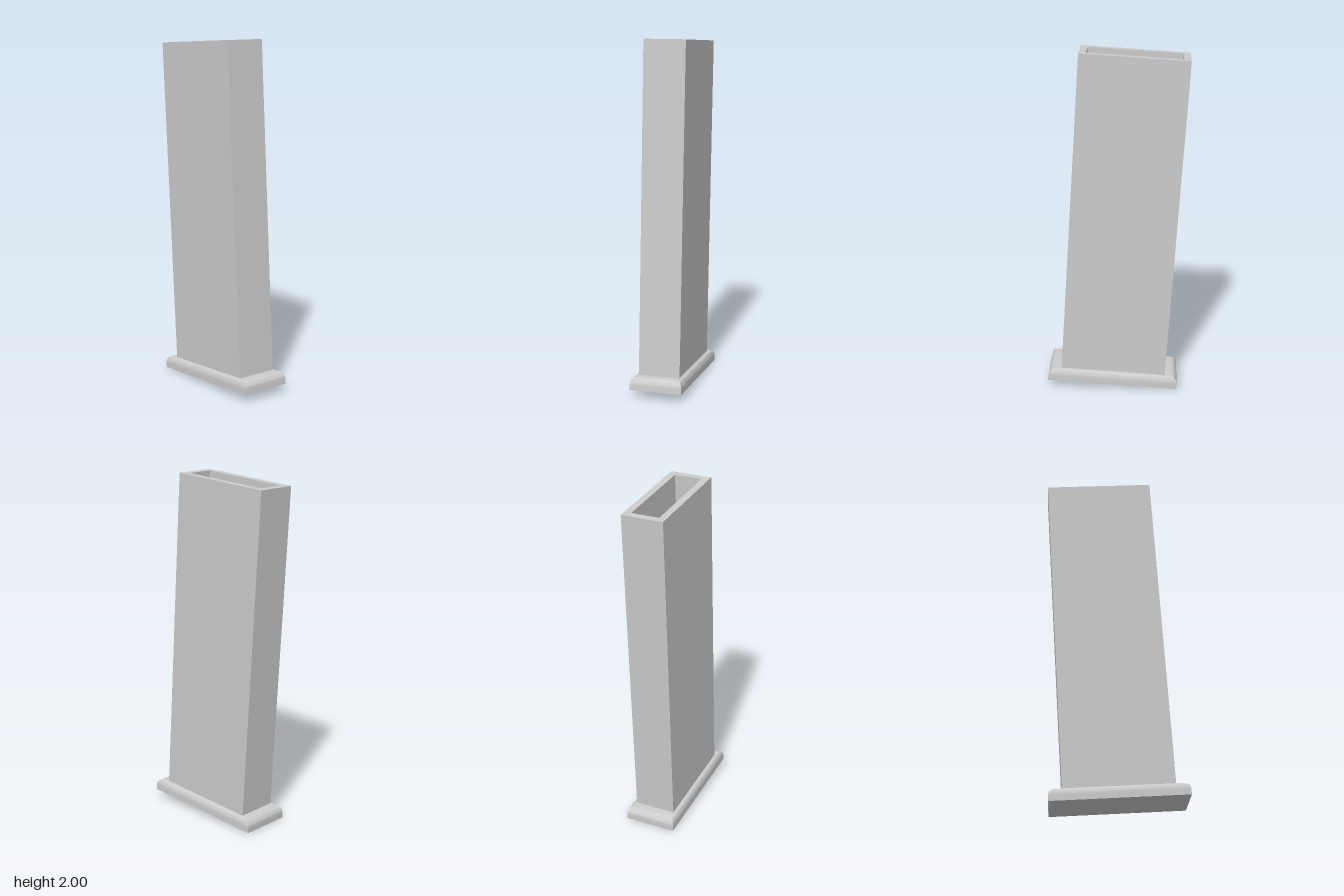
import * as THREE from 'three';
import { toCreasedNormals } from 'three/addons/utils/BufferGeometryUtils.js';

const TILT = 0.0635;
const BASE = { halfX: 0.15, halfZ: 0.381, height: 0.073, wall: 0.033, insetX: 0.026, insetZ: 0.045 };
const TUBE = { halfX: 0.12, halfZ: 0.3065, top: 1.96, wall: 0.04, depth: 1.5 };

// Foot plate: rectangular rings stacked up a quarter-ellipse, with mitred corners
function footGeometry() {
  const { halfX, halfZ, height, wall, insetX, insetZ } = BASE;
  const corners = [[1, 1], [1, -1], [-1, -1], [-1, 1]];
  const ring = (x, y, z) => corners.map(([sx, sz]) => [sx * x, y, sz * z]);
  const rings = [ring(halfX, 0, halfZ)];
  const steps = 7;
  for (let i = 0; i <= steps; i++) {
    const a = (i / steps) * Math.PI / 2;
    const inset = 1 - Math.cos(a);
    rings.push(ring(halfX - insetX * inset, wall + (height - wall) * Math.sin(a), halfZ - insetZ * inset));
  }
  const pos = [];
  const quad = (a, b, c, d) => pos.push(...a, ...b, ...c, ...a, ...c, ...d);
  for (let i = 0; i < rings.length - 1; i++) {
    for (let k = 0; k < 4; k++) {
      const n = (k + 1) % 4;
      quad(rings[i][k], rings[i][n], rings[i + 1][n], rings[i + 1][k]);
    }
  }
  quad(...rings[rings.length - 1]);
  quad(...[...rings[0]].reverse());
  const geometry = new THREE.BufferGeometry();
  geometry.setAttribute('position', new THREE.Float32BufferAttribute(pos, 3));
  return toCreasedNormals(geometry, 0.5);
}

// Rectangle outline centred on the origin
function rectangle(PathType, x, z) {
  const points = [[-x, -z], [x, -z], [x, z], [-x, z]];
  return new PathType(points.map(([px, pz]) => new THREE.Vector2(px, pz)));
}

export function createModel() {
  const model = new THREE.Group();
  model.name = 'hollowColumn';
  const material = new THREE.MeshStandardMaterial({ color: 0xcccccc });
  const add = (name, geometry) => {
    const mesh = new THREE.Mesh(geometry, material);
    mesh.name = name;
    model.add(mesh);
    return mesh;
  };

  add('footPlate', footGeometry());

  // Hollow rectangular tube standing on the foot plate
  const innerX = TUBE.halfX - TUBE.wall;
  const innerZ = TUBE.halfZ - TUBE.wall;
  const outline = rectangle(THREE.Shape, TUBE.halfX, TUBE.halfZ);
  outline.holes.push(rectangle(THREE.Path, innerX, innerZ));
  const tube = new THREE.ExtrudeGeometry(outline, { depth: TUBE.top - BASE.height, bevelEnabled: false });
  tube.rotateX(-Math.PI / 2);
  add('tubeBody', tube).position.y = BASE.height;

  // Floor closing the cavity
  const floor = new THREE.PlaneGeometry(innerX * 2, innerZ * 2).rotateX(-Math.PI / 2);
  add('cavityFloor', floor).position.y = TUBE.top - TUBE.depth;

  // Lean the whole assembly backwards, resting on its rear bottom edge
  model.rotation.x = -TILT;
  model.position.set(0, BASE.halfZ * Math.sin(TILT), 0.025);
  return model;
}
